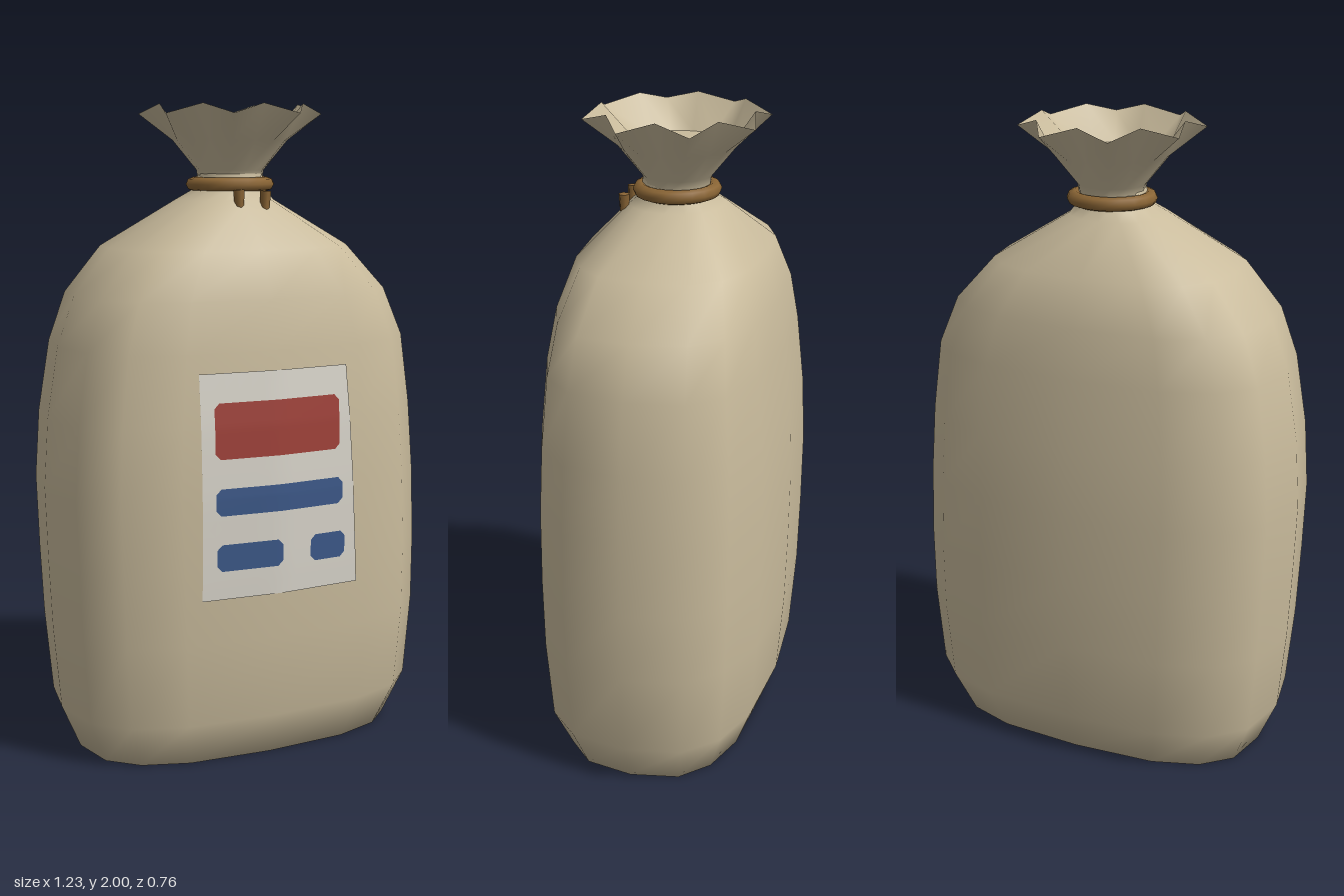
import * as THREE from 'three';

const SIDES = 16;
// Sack sections: y, right edge, left edge, z half depth, corner exponent
const RINGS = [
  [0, -0.52, 0.53, 0.295, 0.715], [0.14, -0.58, 0.595, 0.35, 0.715],
  [0.4, -0.603, 0.614, 0.369, 0.715], [0.62, -0.613, 0.614, 0.374, 0.715],
  [0.85, -0.62, 0.604, 0.375, 0.715], [1.06, -0.606, 0.588, 0.366, 0.715],
  [1.28, -0.57, 0.56, 0.345, 0.715], [1.43, -0.515, 0.495, 0.322, 0.715],
  [1.57, -0.4, 0.365, 0.28, 0.75], [1.71, -0.165, 0.135, 0.145, 0.9],
  [1.745, -0.105, 0.11, 0.105, 1], [1.79, -0.095, 0.105, 0.1, 1],
];

// Lofts closed loops of points, with an optional centre point closing the first loop
function loft(loops, base) {
  const pos = loops.flat(2), idx = [];
  const n = SIDES;
  for (let r = 0; r < loops.length - 1; r++) {
    for (let i = 0; i < n; i++) {
      const a = r * n + i, b = r * n + (i + 1) % n;
      idx.push(a, a + n, b, b, a + n, b + n);
    }
  }
  if (base) {
    const c = pos.length / 3;
    pos.push(...base);
    for (let i = 0; i < n; i++) idx.push(c, i, (i + 1) % n);
  }
  const g = new THREE.BufferGeometry();
  g.setAttribute('position', new THREE.Float32BufferAttribute(pos, 3));
  g.setIndex(idx);
  g.computeVertexNormals();
  return g;
}

const spow = (v, p) => (Math.abs(v) < 1e-9 ? 0 : Math.sign(v) * Math.abs(v) ** p);

function ringLoop([y, x0, x1, d, p]) {
  return Array.from({ length: SIDES }, (_, i) => {
    const a = (i / SIDES) * Math.PI * 2;
    return [(x0 + x1) / 2 + (x1 - x0) / 2 * spow(Math.cos(a), p), y, d * spow(Math.sin(a), p)];
  });
}

// Depth of the sack's front face at x, y
function frontZ(x, y) {
  let k = 0;
  while (k < RINGS.length - 2 && RINGS[k + 1][0] < y) k++;
  const a = RINGS[k], b = RINGS[k + 1], t = (y - a[0]) / (b[0] - a[0]);
  const m = (i) => a[i] + (b[i] - a[i]) * t;
  const c = (m(1) + m(2)) / 2, h = (m(2) - m(1)) / 2;
  return m(3) * (1 - 0.055 * Math.abs(x - c) / (0.503 * h));
}

// Thin panel laid on the sack front; chamfer trims its corners
function patch(x0, x1, y0, y1, lift, chamfer = 0, skew = 0) {
  const nx = 12, ny = 14;
  const g = new THREE.PlaneGeometry(1, 1, nx, ny);
  const p = g.attributes.position;
  for (let i = 0; i < p.count; i++) {
    const col = i % (nx + 1), v = p.getY(i) + 0.5;
    const end = col === 0 || col === nx;
    const w = x1 - x0 - 2 * chamfer;
    let x = x0 + chamfer + w * (col - 1) / (nx - 2);
    if (!chamfer) x = x0 + w * col / nx;
    else if (end) x = col ? x1 : x0;
    const trim = end ? chamfer : 0;
    const y = y0 + trim + (y1 - y0 - 2 * trim) * v;
    x += skew * (1 - v) * col / nx;
    p.setXYZ(i, x, y, frontZ(x, y) + lift);
  }
  g.computeVertexNormals();
  return g;
}

export function createModel() {
  const group = new THREE.Group();
  const mat = (name, color, side = THREE.FrontSide) => {
    const m = new THREE.MeshStandardMaterial({ color, side });
    m.name = name;
    return m;
  };
  const cloth = mat('cloth', 0xc9bb9c, THREE.DoubleSide);
  const paper = mat('labelPaper', 0xd8d4ca, THREE.DoubleSide);
  const red = mat('redPrint', 0x9e4038, THREE.DoubleSide);
  const blue = mat('bluePrint', 0x3c5888, THREE.DoubleSide);
  const rope = mat('rope', 0x8a6535);
  const add = (name, geo, material, x = 0, y = 0, z = 0) => {
    const m = new THREE.Mesh(geo, material);
    m.name = name;
    m.position.set(x, y, z);
    group.add(m);
    return m;
  };

  // Sack body with flat base
  add('sackBody', loft(RINGS.map(ringLoop), [0, 0, 0]), cloth);

  // Gathered top: round neck opening into an eight-pointed ruffle
  const cx = 0.007, cz = -0.005;
  const collar = [[1.77, 0.1, 0.1, 0], [1.8, 0.105, 0.105, 0], [1.89, 0.178, 0.178, 0], [2, 0.235, 0.283, 0.03]];
  add('ruffle', loft(collar.map(([y, rIn, rOut, drop]) =>
    Array.from({ length: SIDES }, (_, i) => {
      const a = (i / SIDES) * Math.PI * 2, r = i % 2 ? rOut : rIn;
      return [cx + r * Math.cos(a), y - (i % 2 ? drop : 0), cz + r * Math.sin(a)];
    }))), cloth);
  const cap = new THREE.CircleGeometry(0.177, SIDES).rotateX(-Math.PI / 2);
  add('neckClosure', cap, cloth, cx, 1.89, cz);

  // Rope tie and its two loose ends
  const tie = new THREE.TorusGeometry(0.114, 0.025, 8, 20).rotateX(Math.PI / 2);
  tie.scale(1, 0.88, 0.96);
  add('ropeTie', tie, rope, cx, 1.757, cz);
  for (const [x, y, tilt] of [[-0.035, 1.717, 0.05], [0.053, 1.712, -0.05]]) {
    const end = add('ropeEnd', new THREE.CylinderGeometry(0.017, 0.014, 0.055, 6), rope, x, y, 0.148);
    end.rotation.z = tilt;
  }

  // Label with printed blocks
  add('label', patch(-0.255, 0.235, 0.54, 1.222, 0.004, 0, 0.035), paper);
  add('redBlock', patch(-0.213, 0.203, 0.968, 1.135, 0.007, 0.016), red);
  add('blueBar', patch(-0.213, 0.212, 0.798, 0.88, 0.007, 0.016), blue);
  add('blueBlockWide', patch(-0.21, 0.003, 0.628, 0.71, 0.007, 0.016), blue);
  add('blueBlockSmall', patch(0.1, 0.222, 0.628, 0.71, 0.007, 0.016), blue);

  return group;
}
